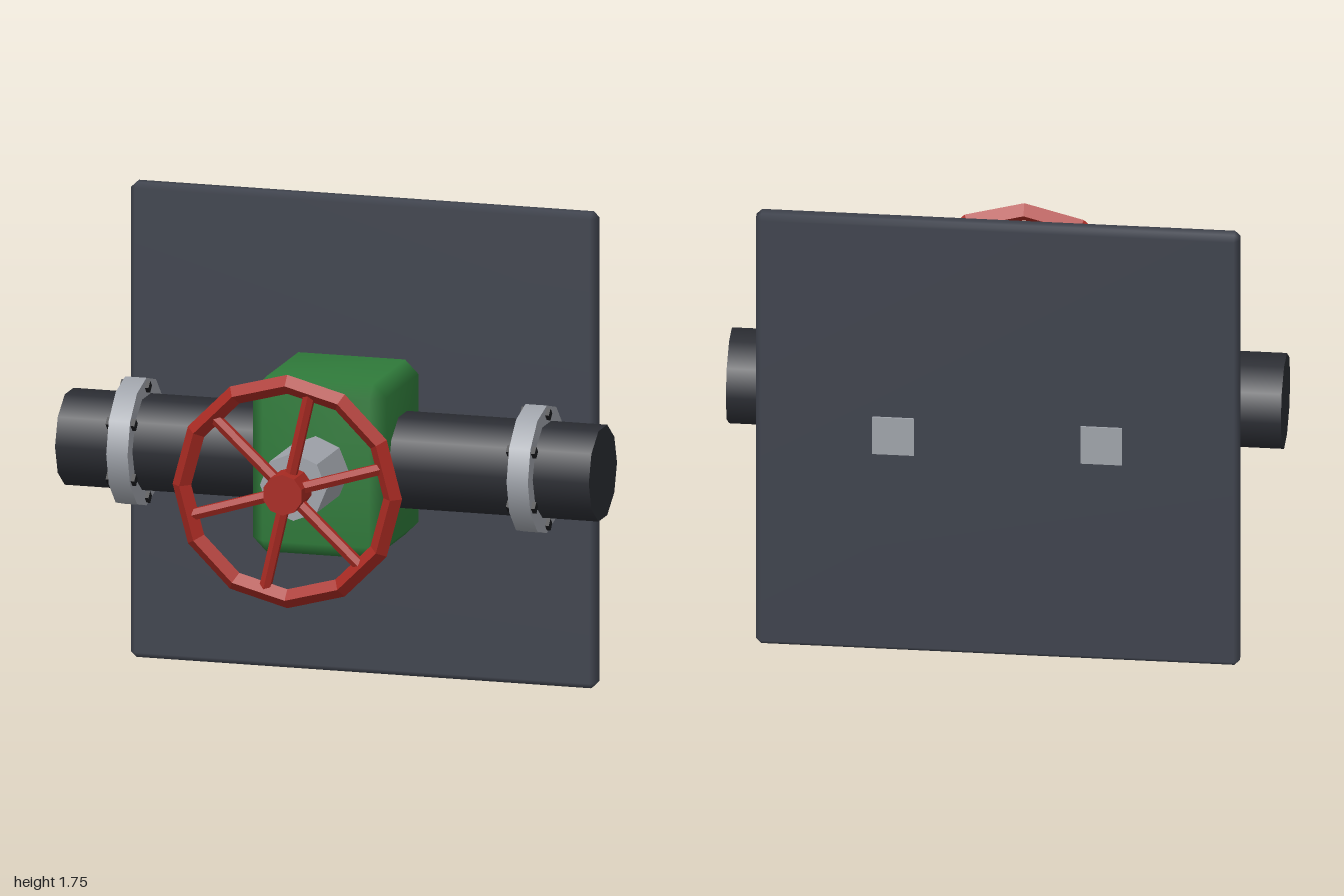
import * as THREE from 'three';
import { ConvexGeometry } from 'three/addons/geometries/ConvexGeometry.js';
import { mergeVertices } from 'three/addons/utils/BufferGeometryUtils.js';

const AXIS_Y = 0.88;   // height of pipe and wheel centre
const PIPE_Z = -0.13;

const mat = (color, flatShading = false) => new THREE.MeshStandardMaterial({ color, flatShading });
const darkPipe = mat(0x2b2d33);
const darkBolt = mat(0x1c1d21, true);
const panelGrey = mat(0x40444e);
const green = mat(0x2f7a3a);
const red = mat(0xa82a22, true);
const steel = mat(0xa0a4ab);
const steelFlat = mat(0xa0a4ab, true);

// Box with single chamfers and softly blended normals
function chamferBox(w, h, d, c) {
  const points = [];
  for (const x of [-1, 1]) for (const y of [-1, 1]) for (const z of [-1, 1]) {
    const [a, b, e] = [w / 2, h / 2, d / 2];
    points.push(
      new THREE.Vector3(x * a, y * (b - c), z * (e - c)),
      new THREE.Vector3(x * (a - c), y * b, z * (e - c)),
      new THREE.Vector3(x * (a - c), y * (b - c), z * e));
  }
  const hull = new ConvexGeometry(points);
  hull.deleteAttribute('normal');
  const geometry = mergeVertices(hull);
  geometry.computeVertexNormals();
  return geometry;
}

// Cylinders lying along x or z
const cylX = (r, length, sides) => new THREE.CylinderGeometry(r, r, length, sides).rotateZ(Math.PI / 2);
const cylZ = (r, length, sides) => new THREE.CylinderGeometry(r, r, length, sides).rotateX(Math.PI / 2);

export function createModel() {
  const model = new THREE.Group();
  model.name = 'wallMountedValve';
  const add = (parent, name, geometry, material, x = 0, y = 0, z = 0) => {
    const mesh = new THREE.Mesh(geometry, material);
    mesh.name = name;
    mesh.position.set(x, y, z);
    parent.add(mesh);
    return mesh;
  };

  // Wall panel, pipe and valve body
  add(model, 'wallPanel', chamferBox(1.744, 1.75, 0.075, 0.02), panelGrey, 0, 0.875, -0.491);
  add(model, 'pipe', cylX(0.175, 2, 10), darkPipe, 0, AXIS_Y, PIPE_Z);
  add(model, 'valveBody', chamferBox(0.5, 0.645, 0.495, 0.05), green, 0, 0.878, PIPE_Z + 0.003);

  for (const side of [-1, 1]) {
    // Bracket through the panel
    add(model, 'pipeBracket', new THREE.BoxGeometry(0.15, 0.15, 0.385), steelFlat,
      side * 0.375, AXIS_Y, -0.3425);

    // Flange with its ring of bolts
    const flange = new THREE.Group();
    flange.name = side > 0 ? 'leftFlange' : 'rightFlange';
    flange.position.set(side * 0.75, AXIS_Y, PIPE_Z);
    add(flange, 'flangeRing', cylX(0.235, 0.08, 12), steel);
    for (let i = 0; i < 6; i++) {
      const a = i * Math.PI / 3;
      add(flange, 'bolt', cylX(0.022, 0.108, 4), darkBolt, 0, 0.203 * Math.cos(a), 0.203 * Math.sin(a));
    }
    model.add(flange);
  }

  // Bonnet and stem
  add(model, 'bonnet', cylZ(0.125, 0.32, 8), steelFlat, 0, AXIS_Y, 0.24);
  add(model, 'stem', cylZ(0.035, 0.15, 8), steel, 0, AXIS_Y, 0.42);

  // Handwheel
  const wheel = new THREE.Group();
  wheel.name = 'handwheel';
  wheel.position.set(0, AXIS_Y, 0.473);
  add(wheel, 'wheelRim', new THREE.TorusGeometry(0.395, 0.035, 4, 12), red);
  add(wheel, 'wheelHub', cylZ(0.075, 0.124, 10), red);
  const spokeLength = 0.39;
  for (let i = 0; i < 6; i++) {
    const a = THREE.MathUtils.degToRad(17 + i * 60);
    const spoke = add(wheel, 'spoke', new THREE.CylinderGeometry(0.023, 0.023, spokeLength, 6), red,
      Math.cos(a) * spokeLength / 2, Math.sin(a) * spokeLength / 2, 0);
    spoke.rotation.z = a - Math.PI / 2;
  }
  model.add(wheel);

  return model;
}
